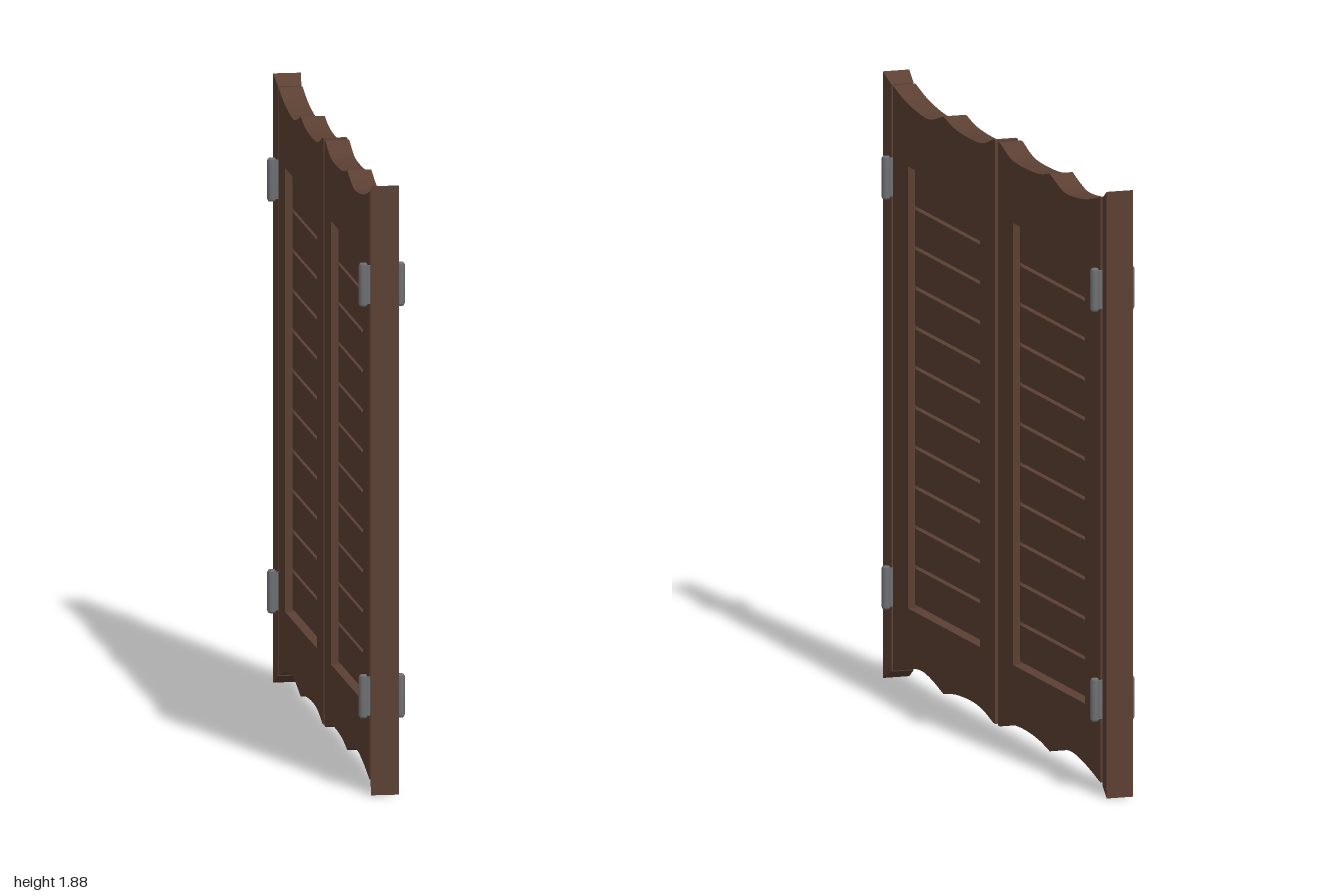
import * as THREE from 'three';

const wood = new THREE.MeshStandardMaterial({ color: 0x5c4033 });
wood.name = 'dark wood';
const steel = new THREE.MeshStandardMaterial({ color: 0x6e7072 });
steel.name = 'hinge steel';

const pts = (list) => list.map(([z, y]) => new THREE.Vector2(z, y));

function add(parent, name, geometry, material, x = 0, y = 0, z = 0) {
  const mesh = new THREE.Mesh(geometry, material);
  mesh.name = name;
  mesh.position.set(x, y, z);
  parent.add(mesh);
  return mesh;
}

// Scalloped frame with one rectangular opening, drawn in (z, y) and extruded along x
function frameGeometry() {
  const s = new THREE.Shape();
  s.moveTo(0.012, 0.042);
  s.lineTo(0.03, 0.042);
  s.splineThru(pts([[0.13, 0.066], [0.24, 0.073], [0.37, 0.066], [0.475, 0.048]]));
  s.splineThru(pts([[0.58, 0.073], [0.68, 0.083], [0.8, 0.066], [0.927, 0.036]]));
  s.lineTo(0.927, 1.854);
  s.splineThru(pts([[0.8, 1.823], [0.64, 1.807], [0.56, 1.817], [0.475, 1.842]]));
  s.splineThru(pts([[0.38, 1.823], [0.25, 1.817], [0.13, 1.823], [0.03, 1.854]]));
  s.lineTo(0.012, 1.854);
  s.closePath();
  const hole = new THREE.Path();
  hole.setFromPoints(pts([[0.147, 0.255], [0.147, 1.627], [0.79, 1.627], [0.79, 0.255]]));
  hole.closePath();
  s.holes.push(hole);
  const g = new THREE.ExtrudeGeometry(s, { depth: 0.074, bevelEnabled: false, curveSegments: 5 });
  return g.translate(0, 0, -0.037).rotateY(-Math.PI / 2);
}

// Post that is taller and thicker at its outer face
function postGeometry() {
  const g = new THREE.BoxGeometry(2, 2, 2);
  const p = g.attributes.position;
  for (let i = 0; i < p.count; i++) {
    const outer = p.getZ(i) > 0;
    p.setXYZ(i,
      p.getX(i) * (outer ? 0.043 : 0.036),
      0.942 + p.getY(i) * (outer ? 0.942 : 0.912),
      outer ? 1 : 0.942);
  }
  g.computeVertexNormals();
  return g;
}

function makeHinge(y) {
  const hinge = new THREE.Group();
  hinge.name = 'hinge';
  hinge.position.set(0, y, 0.932);
  add(hinge, 'hingeLeaf', new THREE.BoxGeometry(0.11, 0.12, 0.008), steel);
  // Barrel with small chamfered ends on each face of the door
  const profile = pts([[0, -0.067], [0.01, -0.067], [0.014, -0.06], [0.014, 0.06], [0.01, 0.067], [0, 0.067]]);
  for (const side of [-1, 1]) {
    const barrel = add(hinge, 'hingeBarrel', new THREE.LatheGeometry(profile, 12), steel, side * 0.057);
    barrel.scale.set(1, 1, 1);
  }
  return hinge;
}

function makeHalf(name) {
  const half = new THREE.Group();
  half.name = name;
  add(half, 'doorFrame', frameGeometry(), wood);
  add(half, 'post', postGeometry(), wood);
  // Evenly spaced slats with narrow gaps
  const pitch = 0.1238, first = 0.26;
  const slat = new THREE.BoxGeometry(0.03, pitch - 0.011, 0.645);
  for (let i = 0; i < 11; i++) {
    add(half, 'slat', slat, wood, 0, first + pitch * (i + 0.5), 0.4685);
  }
  for (const y of [0.295, 1.568]) half.add(makeHinge(y));
  return half;
}

export function createModel() {
  const model = new THREE.Group();
  model.name = 'swingDoors';
  const front = makeHalf('frontDoor');
  const back = makeHalf('backDoor');
  back.rotation.y = Math.PI;
  model.add(front, back);
  return model;
}
